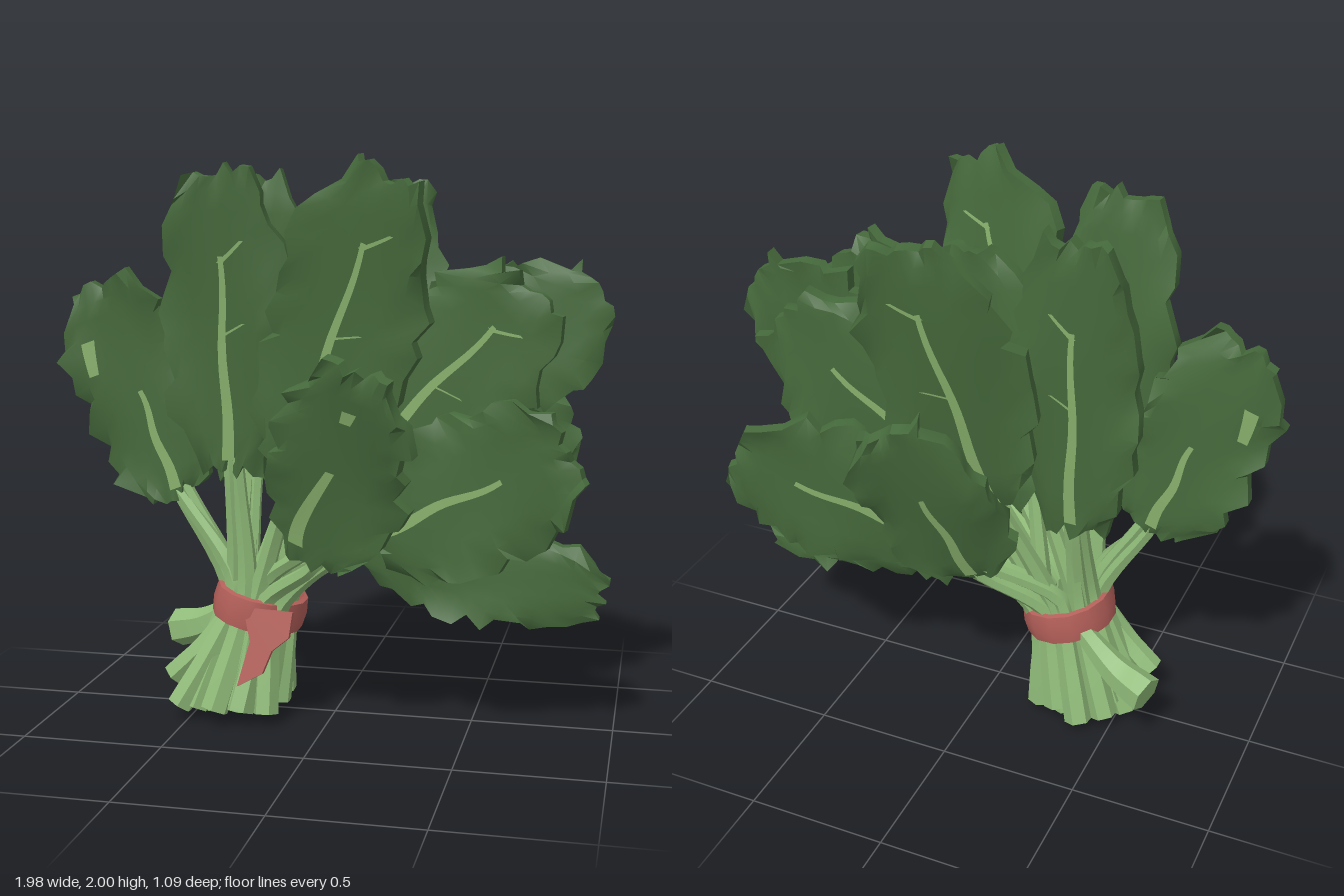
import * as THREE from 'three';
import { toCreasedNormals } from 'three/addons/utils/BufferGeometryUtils.js';

const leafMat = new THREE.MeshStandardMaterial({ color: 0x466a3c });
leafMat.name = 'dark leaf green';
const stemMat = new THREE.MeshStandardMaterial({ color: 0x8fba78 });
stemMat.name = 'pale stem green';
const ribMat = new THREE.MeshStandardMaterial({ color: 0x88b06c, side: THREE.DoubleSide });
ribMat.name = 'rib green';
const bandMat = new THREE.MeshStandardMaterial({ color: 0xb5605a, side: THREE.DoubleSide });
bandMat.name = 'red band';

const V = (x, y, z) => new THREE.Vector3(x, y, z);

// Repeatable noise in -1..1
function noise(a, b, c) {
  const t = Math.sin(a * 127.1 + b * 311.7 + c * 74.7) * 43758.5453;
  return (t - Math.floor(t)) * 2 - 1;
}

function mesh(name, geometry, material) {
  const m = new THREE.Mesh(geometry, material);
  m.name = name;
  return m;
}

// Blade base (x, y, z), tip (x, y, z), half width, yaw slope, rib length (0 for none)
const LEAVES = [
  [-0.34, 0.92, 0.16, -0.355, 1.96, 0.24, 0.215, 0, 0.72],
  [-0.09, 0.95, 0.23, 0.26, 1.94, 0.41, 0.25, 0.2, 0.78],
  [-0.01, 0.62, 0.25, 0.18, 1.31, 0.49, 0.24, 0.22, 0],
  [0.12, 0.96, 0.17, 0.71, 1.57, 0.25, 0.27, 0.12, 0.8],
  [0.18, 0.72, 0.23, 0.85, 1.06, 0.38, 0.26, 0.2, 0.68],
  [-0.56, 0.80, 0.05, -0.845, 1.56, 0.07, 0.23, 0, 0.5],
  [0.25, 1.12, -0.01, 0.91, 1.54, -0.05, 0.25, 0, 0],
  [0.12, 0.62, -0.02, 0.95, 0.49, -0.03, 0.18, 0, 0],
  [-0.12, 0.95, 0.02, 0.15, 1.76, 0.02, 0.20, 0, 0],
  [-0.34, 0.85, -0.13, -0.355, 1.95, -0.19, 0.215, 0, 0.72],
  [-0.08, 0.95, -0.22, 0.16, 1.93, -0.42, 0.24, -0.2, 0.78],
  [-0.02, 0.65, -0.25, 0.19, 1.30, -0.49, 0.22, -0.2, 0.6],
  [0.10, 0.98, -0.16, 0.68, 1.54, -0.27, 0.26, -0.15, 0.7],
  [0.15, 0.75, -0.22, 0.80, 1.07, -0.46, 0.25, -0.3, 0.7],
];

// Extra ribs and pale patches: leaf, start (s, v), end (s, v), half widths
const PATCHES = [
  [5, 0.63, -0.6, 0.78, -0.55, 0.018, 0.026],
  [2, 0.08, -0.5, 0.5, -0.05, 0.03, 0.016],
  [2, 0.76, 0.02, 0.82, 0.06, 0.02, 0.026],
];

// Gives the point of a blade at s along, v across (-1..1), lifted h off its middle
function bladeSurface([bx, by, bz, tx, ty, tz, hw, yaw], seed) {
  const base = V(bx, by, bz);
  const along = V(tx, ty, tz).sub(base);
  const side = V(along.y, -along.x, 0).normalize();
  side.z = yaw * side.x;
  const normal = side.clone().cross(along).normalize();
  const width = (s) => {
    const k = Math.min(1, Math.abs(2 * s - 1));
    return hw * Math.max(0.5, Math.pow(1 - Math.pow(k, 3), 0.45));
  };
  const point = (s, v, h) => {
    const crumple = 0.022 * v * v * Math.sin(9 * s + 2.5 * v + seed * 1.7);
    const bend = 0.012 * Math.sin(Math.PI * s);
    return base.clone().addScaledVector(along, s)
      .addScaledVector(side, v * width(s))
      .addScaledVector(normal, h + crumple - bend);
  };
  return { point, width };
}

// Thick crumpled blade: closed cross-sections lofted from base to tip
function bladeGeometry(surface, seed) {
  const rows = 15, cols = 8, ring = 2 * (cols + 1);
  const pos = [], idx = [];
  for (let i = 0; i <= rows; i++) {
    for (let k = 0; k < ring; k++) {
      const front = k <= cols;
      const j = front ? k : ring - 1 - k;
      const edge = j === 0 || j === cols;
      const end = i === 0 || i === rows;
      let s = i / rows, v = (j / cols) * 2 - 1, h = front ? 0.032 : -0.032;
      if (edge) v *= 1 + 0.14 * noise(i, j, seed);
      if (edge || end) {
        s += 0.028 * noise(j, i, seed + 5);
        h = h * 0.75 + 0.02 * noise(i + 3, j, seed + 9);
      }
      const p = surface.point(s, v, h);
      pos.push(p.x, p.y, p.z);
    }
  }
  const quad = (a, b, c, d) => idx.push(a, b, c, a, c, d);
  for (let i = 0; i < rows; i++) {
    for (let k = 0; k < ring; k++) {
      const n = (k + 1) % ring, a = i * ring, b = a + ring;
      quad(a + k, a + n, b + n, b + k);
    }
  }
  const top = rows * ring;
  for (let j = 0; j < cols; j++) {
    quad(top + j, top + j + 1, top + ring - 2 - j, top + ring - 1 - j);
    quad(ring - 1 - j, ring - 2 - j, j + 1, j);
  }
  const g = new THREE.BufferGeometry();
  g.setAttribute('position', new THREE.Float32BufferAttribute(pos, 3));
  g.setIndex(idx);
  return toCreasedNormals(g, 0.7);
}

// Thin strip lying on one face of a blade, from (s0, v0) to (s1, v1)
function ribGeometry(surface, face, s0, v0, s1, v1, w0, w1) {
  const steps = 14, pos = [], idx = [];
  for (let i = 0; i <= steps; i++) {
    const t = i / steps;
    const s = s0 + (s1 - s0) * t;
    const v = v0 + (v1 - v0) * t + (v0 === v1 ? 0.03 * Math.sin(t * 9) : 0);
    const half = (w0 + (w1 - w0) * t) / surface.width(s);
    for (const e of [-half, half]) {
      const p = surface.point(s, v + e, face * 0.038);
      pos.push(p.x, p.y, p.z);
    }
    if (i < steps) {
      const a = i * 2;
      if (face > 0) idx.push(a, a + 1, a + 3, a, a + 3, a + 2);
      else idx.push(a, a + 3, a + 1, a, a + 2, a + 3);
    }
  }
  const g = new THREE.BufferGeometry();
  g.setAttribute('position', new THREE.Float32BufferAttribute(pos, 3));
  g.setIndex(idx);
  g.computeVertexNormals();
  return g;
}

// Tapered six-sided stalk with flat cut ends
function stalkGeometry(points, r0, r1) {
  const n = 14, sides = 6;
  const curve = new THREE.CatmullRomCurve3(points);
  const g = new THREE.TubeGeometry(curve, n, 1, sides);
  const p = g.attributes.position, q = new THREE.Vector3();
  for (let i = 0; i <= n; i++) {
    const t = i / n;
    const inner = curve.getPointAt(t);
    const centre = curve.getPointAt(i <= 1 ? 0 : i >= n - 1 ? 1 : t);
    const r = i === 0 || i === n ? 0 : r0 + (r1 - r0) * Math.min(1, t * 1.3);
    for (let k = 0; k <= sides; k++) {
      const at = i * (sides + 1) + k;
      q.fromBufferAttribute(p, at).sub(inner).multiplyScalar(r).add(centre);
      p.setXYZ(at, q.x, q.y, q.z);
    }
  }
  return toCreasedNormals(g, 0.6);
}

export function createModel() {
  const model = new THREE.Group();
  model.name = 'tied leaf bunch';
  const surfaces = LEAVES.map((spec, i) => bladeSurface(spec, i + 1));

  // Leaves with ribs on both faces and their stalks
  LEAVES.forEach((spec, i) => {
    const leaf = new THREE.Group();
    leaf.name = 'leaf' + (i + 1);
    const surface = surfaces[i], ribEnd = spec[8];
    leaf.add(mesh('blade', bladeGeometry(surface, i + 1), leafMat));
    for (const face of ribEnd ? [1, -1] : []) {
      leaf.add(mesh('midrib', ribGeometry(surface, face, 0.04, 0, ribEnd, 0, 0.022, 0.009), ribMat));
      if (ribEnd < 0.71) continue;
      leaf.add(mesh('sideRib', ribGeometry(surface, face, 0.46, 0, 0.5, 0.35, 0.009, 0.006), ribMat));
      leaf.add(mesh('sideRibTip', ribGeometry(surface, face, ribEnd - 0.02, 0, ribEnd + 0.05, 0.4, 0.012, 0.007), ribMat));
    }
    const [bx, , bz] = spec;
    const nx = THREE.MathUtils.clamp((bx + 0.1) * 0.35, -0.1, 0.1) + 0.02 * noise(i, 1, 2);
    const nz = THREE.MathUtils.clamp(bz * 0.5, -0.12, 0.13);
    leaf.add(mesh('stalk', stalkGeometry([
      V(-0.36 + nx * 1.5, 0.05 + 0.025 * noise(i, 4, 1), 0.03 + nz * 1.4),
      V(-0.28 + nx, 0.42, 0.02 + nz),
      surface.point(0, 0, 0),
      surface.point(0.15, 0, 0),
    ], 0.05, 0.027), stemMat));
    model.add(leaf);
  });

  // Loose ribs and pale patches on both faces
  for (const [leaf, ...strip] of PATCHES) {
    for (const face of [1, -1]) {
      model.add(mesh('palePatch', ribGeometry(surfaces[leaf], face, ...strip), ribMat));
    }
  }

  // Outer ring of thick stalks, each joining the leaf on its own side
  [7, 4, 2, 0, 5, 5, 9, 9, 11, 13, 8].forEach((target, i) => {
    const a = (i / 11) * Math.PI * 2, c = Math.cos(a), s = Math.sin(a);
    model.add(mesh('outerStalk', stalkGeometry([
      V(-0.37 + 0.16 * c, 0.05 + 0.025 * noise(i, 2, 7), 0.03 + 0.2 * s),
      V(-0.29 + 0.115 * c, 0.38, 0.02 + 0.125 * s),
      V(-0.275 + 0.1 * c, 0.5, 0.02 + 0.12 * s),
      surfaces[target].point(0.08, i % 2 ? 0.12 : -0.12, 0),
    ], 0.054, 0.026), stemMat));
  });

  // Stray stalks splayed to the right side
  model.add(mesh('strayStalk', stalkGeometry(
    [V(-0.65, 0.24, -0.17), V(-0.52, 0.28, -0.13), V(-0.33, 0.42, -0.08)], 0.075, 0.04), stemMat));
  model.add(mesh('strayStalk', stalkGeometry(
    [V(-0.58, 0.14, 0.1), V(-0.46, 0.26, 0.1), V(-0.33, 0.44, 0.08)], 0.05, 0.04), stemMat));
  model.add(mesh('strayStalk', stalkGeometry(
    [V(-0.53, 0.06, 0.2), V(-0.44, 0.22, 0.16), V(-0.33, 0.44, 0.1)], 0.05, 0.04), stemMat));

  // Band around the neck, slightly slanted
  const profile = [[0.9, -0.06], [1, -0.055], [1.04, 0], [1, 0.055], [0.9, 0.06]]
    .map(([x, y]) => new THREE.Vector2(x, y));
  const loop = new THREE.LatheGeometry(profile, 14);
  loop.scale(0.165, 1, 0.185);
  const band = mesh('band', toCreasedNormals(loop, 0.6), bandMat);
  band.position.set(-0.275, 0.405, 0.02);
  band.rotation.z = -0.22;
  model.add(band);

  // Loose band tail hanging over the front stalks
  const tail = new THREE.Shape([[-0.29, 0.44], [-0.26, 0.32], [-0.3, 0.16], [-0.21, 0.21],
    [-0.18, 0.29], [-0.12, 0.34], [-0.11, 0.43]].map(([x, y]) => new THREE.Vector2(x, y)));
  const tailMesh = mesh('bandTail', new THREE.ExtrudeGeometry(tail, { depth: 0.025, bevelEnabled: false }), bandMat);
  tailMesh.position.z = 0.265;
  tailMesh.rotation.x = -0.2;
  model.add(tailMesh);

  return model;
}
